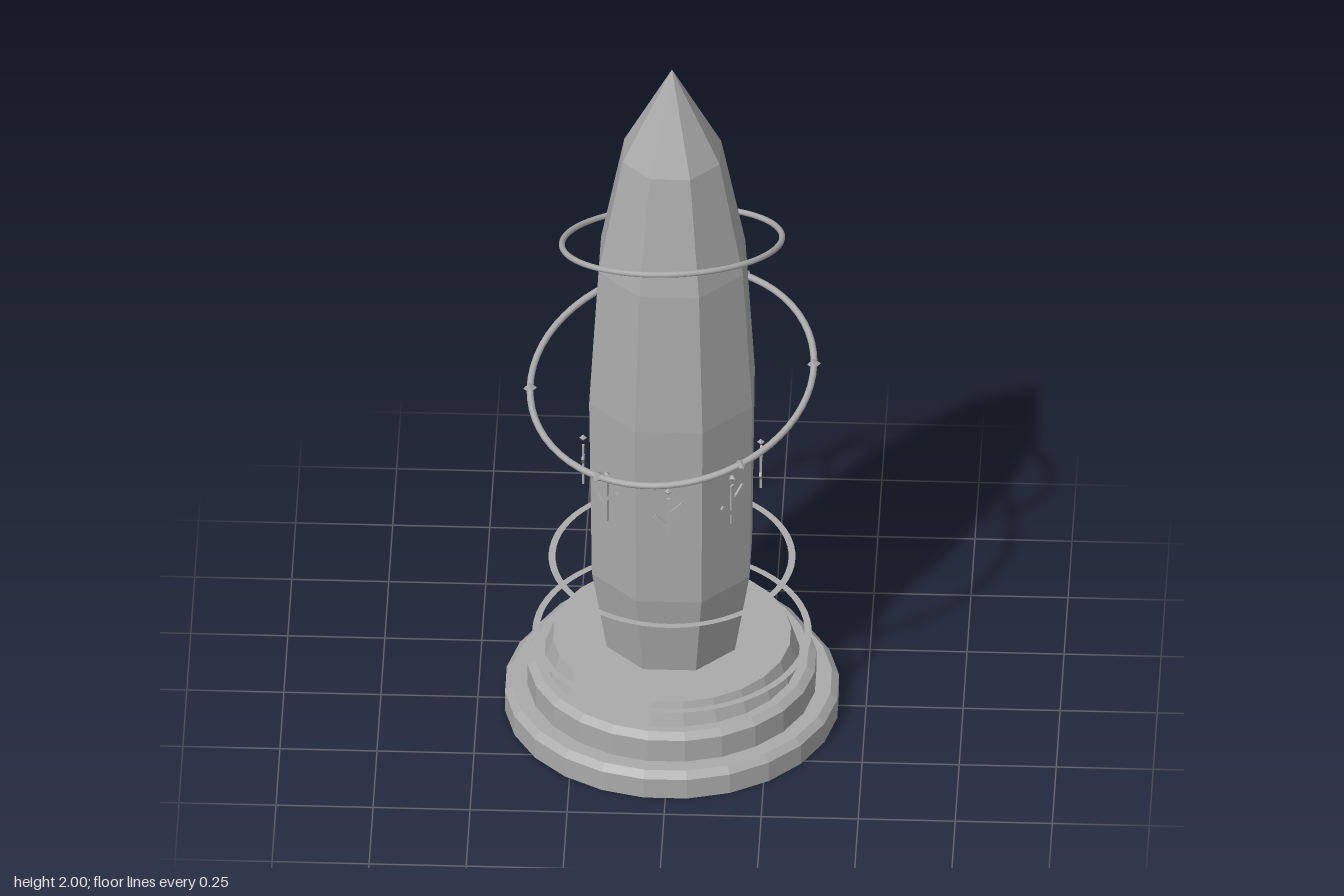
import * as THREE from 'three';

const stone = new THREE.MeshStandardMaterial({ color: 0xaaaaaa, side: THREE.DoubleSide });
stone.name = 'grey stone';

function add(parent, name, geometry) {
  const mesh = new THREE.Mesh(geometry, stone);
  mesh.name = name;
  parent.add(mesh);
  return mesh;
}

// Faceted solid of revolution with flat sides facing the axes;
// profile holds [distance to flat side, height]
function faceted(profile, sides) {
  const k = 1 / Math.cos(Math.PI / sides);
  const points = profile.map(([r, y]) => new THREE.Vector2(r * k, y));
  const geometry = new THREE.LatheGeometry(points, sides, Math.PI / sides).toNonIndexed();
  geometry.computeVertexNormals();
  return geometry;
}

// Hoop around the shaft, lying in the plane y = height + sx * x + sz * z
function tiltedHoop(parent, name, radius, tube, height, sx, sz) {
  const group = new THREE.Group();
  group.name = name;
  group.position.y = height;
  const normal = new THREE.Vector3(-sx, 1, -sz).normalize();
  group.quaternion.setFromUnitVectors(new THREE.Vector3(0, 1, 0), normal);
  add(group, name + 'Tube', new THREE.TorusGeometry(radius, tube, 8, 64).rotateX(Math.PI / 2));
  parent.add(group);
  return group;
}

// Thin bar between two points in the plane of a carved sign
function bar(parent, name, x1, y1, x2, y2) {
  const length = Math.hypot(x2 - x1, y2 - y1);
  const mesh = add(parent, name, new THREE.BoxGeometry(0.01, length, 0.006));
  mesh.position.set((x1 + x2) / 2, (y1 + y2) / 2, 0);
  mesh.rotation.z = Math.atan2(x1 - x2, y2 - y1);
}

export function createModel() {
  const model = new THREE.Group();
  model.name = 'obelisk';

  // Stepped round plinth
  add(model, 'lowerStep', faceted([[0, 0], [0.428, 0], [0.428, 0.058], [0.41, 0.075], [0, 0.075]], 24));
  add(model, 'middleStep', faceted([[0, 0.075], [0.37, 0.075], [0.37, 0.14], [0.35, 0.155], [0, 0.155]], 24));
  add(model, 'upperStep', faceted([[0, 0.155], [0.327, 0.155], [0.305, 0.218], [0, 0.218]], 24));

  // Eight-sided shaft with pointed tip
  add(model, 'shaft', faceted([
    [0, 0.218], [0.165, 0.218], [0.203, 0.46], [0.21, 1.0], [0.186, 1.41], [0.125, 1.74], [0, 2],
  ], 8));

  // Flat floating rings near the foot
  for (const [name, radius, y] of [['footRing', 0.36, 0.221], ['floatingRing', 0.318, 0.46]]) {
    add(model, name, new THREE.RingGeometry(radius - 0.018, radius, 64).rotateX(-Math.PI / 2)).position.y = y;
  }

  // Tilted hoops, the lower one set with six beads
  tiltedHoop(model, 'upperHoop', 0.284, 0.008, 1.458, 0.05, 0.317);
  const lowerHoop = tiltedHoop(model, 'lowerHoop', 0.37, 0.009, 1.03, 0.15, -0.25);
  for (let i = 0; i < 6; i++) {
    const a = i * Math.PI / 3;
    const bead = add(lowerHoop, 'bead', new THREE.OctahedronGeometry(0.018));
    bead.position.set(0.37 * Math.cos(a), 0, 0.37 * Math.sin(a));
    bead.rotation.y = -a;
  }

  // A branching sign floating in front of each side
  for (let i = 0; i < 8; i++) {
    const a = i * Math.PI / 4;
    const sign = new THREE.Group();
    sign.name = 'sign';
    sign.position.set(0.229 * Math.sin(a), 0, 0.229 * Math.cos(a));
    sign.rotation.y = a;
    bar(sign, 'signStem', 0, 0.685, 0, 0.805);
    bar(sign, 'signRightBranch', 0, 0.752, 0.038, 0.79);
    bar(sign, 'signLeftBranch', 0, 0.715, -0.036, 0.75);
    add(sign, 'signDot', new THREE.OctahedronGeometry(0.01)).position.y = 0.828;
    model.add(sign);
  }
  return model;
}
